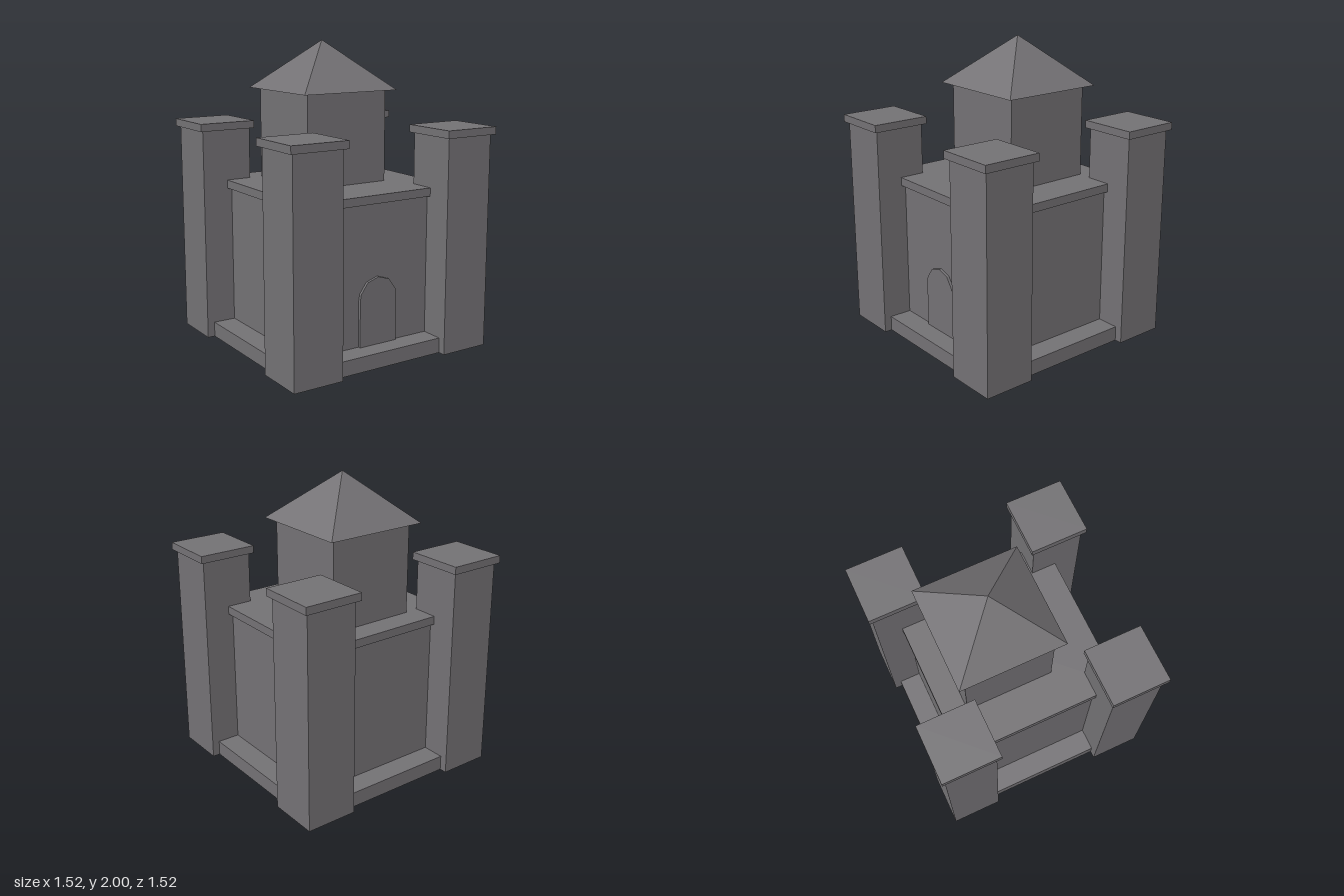
import * as THREE from 'three';

export function createModel() {
  const castle = new THREE.Group();
  castle.name = 'castle';
  const stone = new THREE.MeshStandardMaterial({ color: 0x737174, flatShading: true });
  stone.name = 'grey stone';

  const add = (name, geometry, x, y, z, parent = castle) => {
    const mesh = new THREE.Mesh(geometry, stone);
    mesh.name = name;
    mesh.position.set(x, y, z);
    parent.add(mesh);
    return mesh;
  };
  // Square block standing on height y0
  const block = (name, width, y0, y1, x = 0, z = 0, parent = castle) =>
    add(name, new THREE.BoxGeometry(width, y1 - y0, width), x, (y0 + y1) / 2, z, parent);

  // Main building: plinth, walls and roof slab
  block('plinth', 1.376, 0, 0.1);
  block('walls', 1.07, 0.1, 1.02);
  block('roofSlab', 1.132, 1.02, 1.075);

  // Four corner towers with overhanging caps
  const corner = 0.566;
  for (const sx of [-1, 1]) {
    for (const sz of [-1, 1]) {
      const tower = new THREE.Group();
      tower.name = (sz > 0 ? 'front' : 'back') + (sx > 0 ? 'Left' : 'Right') + 'Tower';
      tower.position.set(sx * corner, 0, sz * corner);
      castle.add(tower);
      block('towerShaft', 0.344, 0, 1.415, 0, 0, tower);
      block('towerCap', 0.392, 1.415, 1.465, 0, 0, tower);
    }
  }

  // Central keep, set back, with a pyramid roof
  const keepZ = -0.103;
  block('keep', 0.6, 1.075, 1.68, 0, keepZ);
  const pyramid = new THREE.ConeGeometry(0.5, 0.32, 4);
  pyramid.rotateY(Math.PI / 4);
  add('keepRoof', pyramid, 0, 1.84, keepZ);

  // Arched door with a faceted top
  const radius = 0.14, springY = 0.405;
  const door = new THREE.Shape();
  door.moveTo(-radius, 0.1);
  door.lineTo(radius, 0.1);
  door.lineTo(radius, springY);
  for (const degrees of [18, 54, 90, 126, 162]) {
    const a = THREE.MathUtils.degToRad(degrees);
    door.lineTo(radius * Math.cos(a), springY + radius * Math.sin(a));
  }
  door.lineTo(-radius, springY);
  door.closePath();
  add('door', new THREE.ExtrudeGeometry(door, { depth: 0.03, bevelEnabled: false }), 0, 0, 0.523);

  return castle;
}
